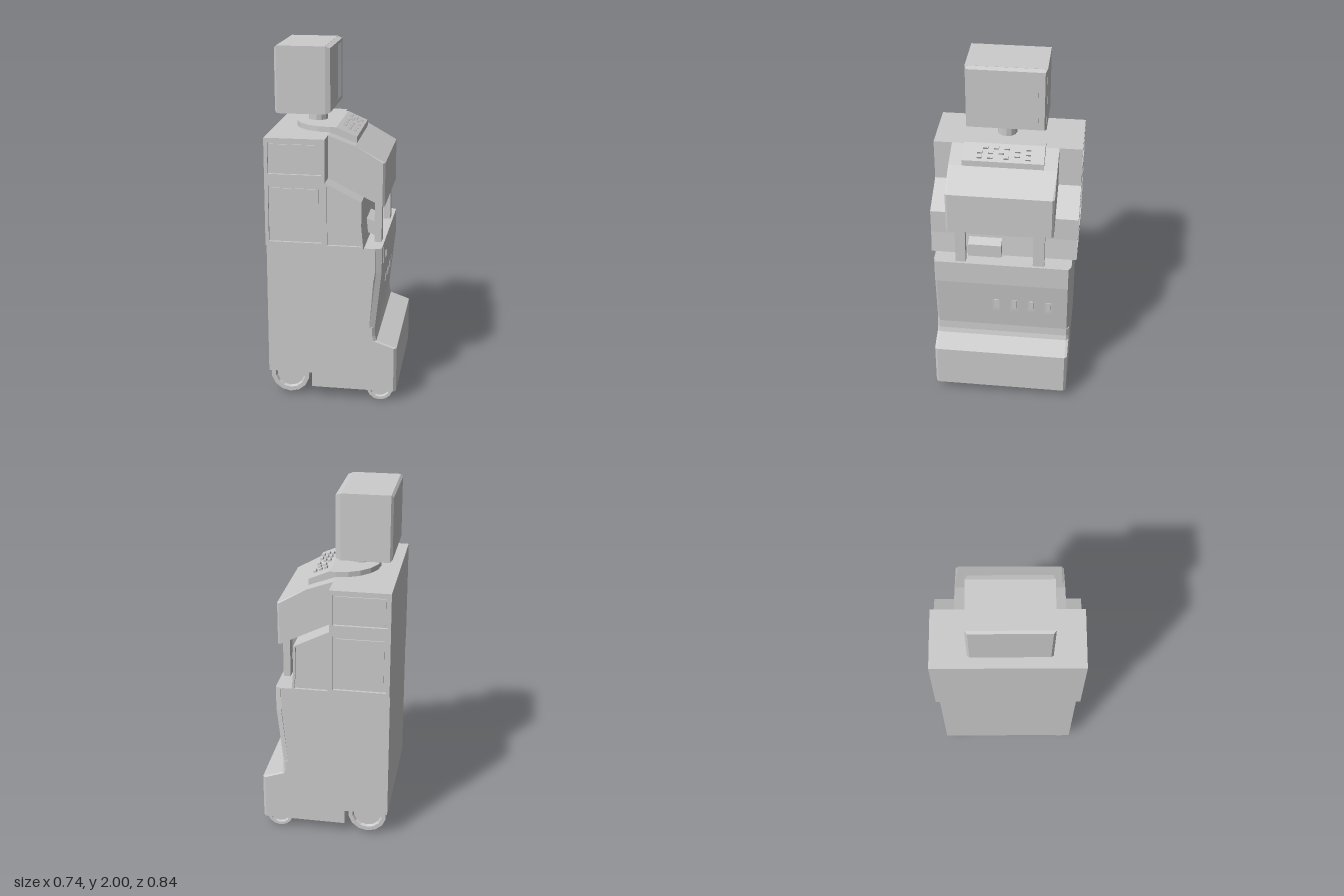
import * as THREE from 'three';

const material = new THREE.MeshStandardMaterial({ color: 0xcccccc, flatShading: true });

function toShape(points, holes = []) {
  const shape = new THREE.Shape(points.map(p => new THREE.Vector2(...p)));
  for (const h of holes) shape.holes.push(new THREE.Path(h.map(p => new THREE.Vector2(...p))));
  return shape;
}

const rect = (a0, b0, a1, b1) => [[a0, b0], [a1, b0], [a1, b1], [a0, b1]];

// Side profile (x, y) swept from z0 to z1; the front corners can be chamfered by c
function sweep(points, z0, z1, c = 0, holes = []) {
  const geo = new THREE.ExtrudeGeometry(toShape(points, holes),
    { depth: 3, steps: c ? 3 : 1, bevelEnabled: false });
  const layers = [z0, z0 + c, z1 - c, z1];
  const pos = geo.attributes.position;
  for (let i = 0; i < pos.count; i++) {
    const k = Math.round(pos.getZ(i));
    if (c && (k === 0 || k === 3) && pos.getX(i) > 0.2) pos.setX(i, pos.getX(i) - c);
    pos.setZ(i, layers[k]);
  }
  geo.computeVertexNormals();
  return geo;
}

// Upright plate facing +x, outlined in (z, y); its front follows frontX(y)
function plate(points, holes, thickness, frontX, chamfer = 0) {
  const geo = new THREE.ExtrudeGeometry(toShape(points.map(([z, y]) => [-z, y]),
    holes.map(h => h.map(([z, y]) => [-z, y]))), { depth: thickness, bevelEnabled: false });
  geo.rotateY(Math.PI / 2);
  const pos = geo.attributes.position;
  const edge = Math.max(...points.map(p => p[0]));
  for (let i = 0; i < pos.count; i++) {
    const x = pos.getX(i), z = pos.getZ(i);
    if (x > thickness / 2 && Math.abs(z) > edge - 0.001) pos.setZ(i, Math.sign(z) * (edge - chamfer));
    pos.setX(i, frontX(pos.getY(i)) - thickness + x);
  }
  geo.computeVertexNormals();
  return geo;
}

function box(x0, y0, z0, x1, y1, z1) {
  const geo = new THREE.BoxGeometry(x1 - x0, y1 - y0, z1 - z0);
  return geo.translate((x0 + x1) / 2, (y0 + y1) / 2, (z0 + z1) / 2);
}

export function createModel() {
  const model = new THREE.Group();
  const add = (name, geo, parent = model) => {
    const mesh = new THREE.Mesh(geo, material);
    mesh.name = name;
    parent.add(mesh);
    return mesh;
  };

  // Lower cabinet with a stepped foot; the front is set back for the plates
  add('lowerCabinet', sweep([
    [-0.37, 0.15], [-0.12, 0.15], [-0.12, 0.065], [0.365, 0.065], [0.365, 0.33],
    [0.25, 0.37], [0.242, 0.4], [0.24, 0.45], [0.225, 0.45], [0.245, 0.72],
    [0.255, 0.78], [0.255, 0.92], [-0.37, 0.92],
  ], -0.395, 0.395, 0.015));

  // Front plates with sunken sockets and card slots
  const sockets = [0.035, -0.07, -0.17, -0.27].map(z => rect(z - 0.025, 0.57, z + 0.025, 0.66));
  add('socketPanel', plate(rect(-0.395, 0.45, 0.395, 0.78), sockets, 0.03,
    y => 0.24 + 0.035 * (y - 0.45) / 0.33, 0.015));
  add('slotPanel', plate(rect(-0.395, 0.78, 0.395, 0.92),
    [rect(0.275, 0.8, 0.302, 0.9), rect(0.155, 0.8, 0.19, 0.9)], 0.03, () => 0.275, 0.015));
  for (const z of [0.035, -0.07, -0.17, -0.27])
    add('socketInsert', box(0.22, 0.585, z - 0.014, 0.25, 0.645, z + 0.014));

  // Upper cabinet: solid core plus side walls with recessed panels
  const upper = [[-0.37, 0.92], [0.177, 0.92], [0.165, 1.05], [0.165, 1.19],
    [-0.035, 1.29], [-0.035, 1.53], [-0.37, 1.53]];
  const panels = [
    rect(-0.35, 1.33, -0.055, 1.505),
    rect(-0.35, 0.945, -0.055, 1.265),
    [[-0.025, 0.935], [0.163, 0.935], [0.152, 1.05], [0.152, 1.185], [-0.025, 1.27]],
  ];
  add('upperCabinet', sweep(upper, -0.405, 0.405));
  for (const s of [-1, 1]) {
    add('sideWall', sweep(upper, s > 0 ? 0.405 : -0.42, s > 0 ? 0.42 : -0.405, 0, panels));
    // Door plates sit slightly proud inside their recesses
    for (const [x0, y0, x1, y1] of [[-0.34, 1.34, -0.065, 1.495], [-0.335, 0.96, -0.07, 1.25]])
      add('sideDoor', box(x0, y0, s * 0.408 - 0.004, x1, y1, s * 0.408 + 0.004));
  }

  // Overhanging hood, its posts and the tray between them
  add('hood', sweep([[-0.06, 1.303], [0.28, 1.14], [0.28, 1.385], [0.115, 1.475], [-0.035, 1.53], [-0.06, 1.53]],
    -0.29, 0.315, 0.012));
  add('leftPost', box(0.22, 0.91, 0.21, 0.26, 1.2, 0.268));
  add('rightPost', box(0.22, 0.91, -0.24, 0.26, 1.2, -0.175));
  add('tray', sweep([[0.15, 0.96], [0.22, 0.935], [0.22, 1.015], [0.15, 1.04]], 0.01, 0.2));

  // Swivel base with a rounded back
  const base = [];
  for (let i = 0; i <= 10; i++) {
    const a = Math.PI / 2 + Math.PI * i / 10;
    base.push([-0.035 + 0.225 * Math.cos(a), 0.227 * Math.sin(a) - 0.012]);
  }
  const baseGeo = new THREE.ExtrudeGeometry(toShape(base), { depth: 0.04, bevelEnabled: false });
  add('swivelBase', baseGeo.rotateX(-Math.PI / 2).translate(0, 1.52, 0));

  // Sloping keypad
  add('keypad', sweep([[-0.036, 1.5], [0.115, 1.46], [0.115, 1.51], [0, 1.56], [-0.036, 1.56]], -0.215, 0.239));
  const keys = new THREE.Group();
  keys.name = 'keys';
  model.add(keys);
  const keyRows = [[-0.125, 0.03, 0.06, 0.09], [-0.065, 0.045, 0.075], [-0.005, 0.03, 0.09],
    [0.025, 0.06], [0.055, 0.03], [0.085, 0.06, 0.09], [0.115, 0.03], [0.145, 0.06, 0.09]];
  for (const [z, ...xs] of keyRows) for (const x of xs) {
    const key = add('key', new THREE.BoxGeometry(0.017, 0.024, 0.028), keys);
    key.position.set(x, 1.56 - x * 0.435, z);
    key.rotation.z = -0.41;
  }

  // Monitor: neck, chamfered rear shell, front bezel and sunken screen
  add('monitorNeck', new THREE.CylinderGeometry(0.055, 0.055, 0.1, 12).translate(-0.14, 1.6, 0.012));
  const shell = box(-0.345, 1.628, -0.213, -0.06, 2, 0.237);
  const sp = shell.attributes.position;
  for (let i = 0; i < sp.count; i++) if (sp.getX(i) < -0.3) {
    sp.setY(i, 1.814 + (sp.getY(i) - 1.814) * 0.93);
    sp.setZ(i, 0.012 + (sp.getZ(i) - 0.012) * 0.94);
  } 
  // The taper is confined to a thin rear cap; the main shell stays square
  for (let i = 0; i < sp.count; i++) if (sp.getX(i) > -0.3) sp.setX(i, -0.332);
  shell.computeVertexNormals();
  add('monitorRear', shell);
  add('monitorShell', box(-0.332, 1.628, -0.213, -0.062, 2, 0.237));
  const bezel = plate(rect(-0.213, 1.628, 0.237, 2), [rect(-0.175, 1.66, 0.2, 1.972)], 0.03, () => -0.035);
  const bp = bezel.attributes.position;
  for (let i = 0; i < bp.count; i++) if (bp.getX(i) > -0.04) {
    // Chamfer the outer front rim
    const y = bp.getY(i), z = bp.getZ(i);
    if (y < 1.63 || y > 1.99) {
      bp.setY(i, y + (y < 1.8 ? 0.01 : -0.01));
      bp.setZ(i, z + (z < 0 ? 0.01 : -0.01));
    }
  }
  bezel.computeVertexNormals();
  add('monitorBezel', bezel);
  add('screen', box(-0.07, 1.668, -0.166, -0.055, 1.963, 0.191));

  // Wheels with dished hubs
  const addWheel = (name, x, y, r, z) => {
    const w = 0.032;
    const profile = [[0, -w * 0.5], [r * 0.72, -w * 0.5], [r * 0.78, -w], [r, -w],
      [r, w], [r * 0.78, w], [r * 0.72, w * 0.5], [0, w * 0.5]];
    const geo = new THREE.LatheGeometry(profile.map(p => new THREE.Vector2(...p)), 14);
    add(name, geo.rotateX(Math.PI / 2).translate(x, y, z));
  };
  for (const z of [-0.342, 0.342]) {
    addWheel('rearWheel', -0.25, 0.128, 0.112, z);
    addWheel('frontWheel', 0.27, 0.076, 0.076, z);
    add('axleBlock', box(-0.28, 0.11, z - 0.012, -0.22, 0.16, z + 0.012));
  }
  return model;
}
